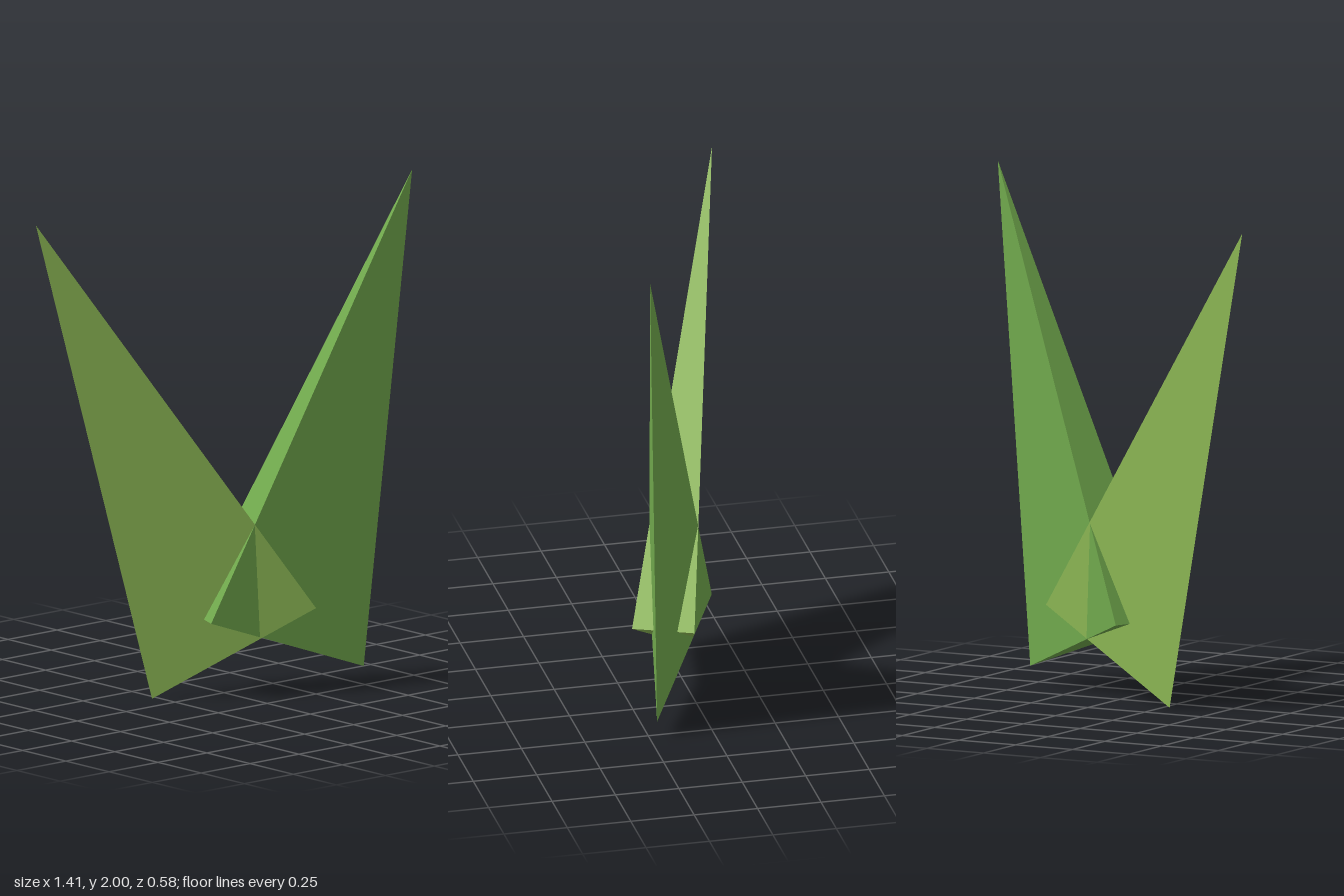
import * as THREE from 'three';

// Three-sided spike: an apex over a ring of base corners (counter-clockwise seen from the apex)
function spike(name, material, apex, ring) {
  const points = [];
  ring.forEach((corner, i) => {
    points.push(...apex, ...corner, ...ring[(i + 1) % ring.length]);
  });
  // closing base cap
  for (let i = 1; i < ring.length - 1; i++) points.push(...ring[0], ...ring[i + 1], ...ring[i]);

  const geometry = new THREE.BufferGeometry();
  geometry.setAttribute('position', new THREE.Float32BufferAttribute(points, 3));
  geometry.computeVertexNormals(); // unshared corners keep the facets flat
  const mesh = new THREE.Mesh(geometry, material);
  mesh.name = name;
  return mesh;
}

function flatColour(name, color) {
  const material = new THREE.MeshStandardMaterial({ color, flatShading: true });
  material.name = name;
  return material;
}

export function createModel() {
  const group = new THREE.Group();
  group.name = 'grassTuft';

  // Yellow-green blade leaning right and back
  group.add(spike('rightBlade', flatColour('lightGreen', 0x8fbc56),
    [-0.704, 1.89, -0.292],
    [[-0.277, 0, -0.103], [0.247, 0.338, 0.253], [0.343, 0.338, 0.03]]));

  // Deeper green blade leaning left and forward
  group.add(spike('leftBlade', flatColour('midGreen', 0x71a94d),
    [0.704, 2, 0.292],
    [[-0.145, 0.307, 0.09], [0.52, 0.065, 0.22], [-0.058, 0.307, -0.135]]));

  return group;
}
